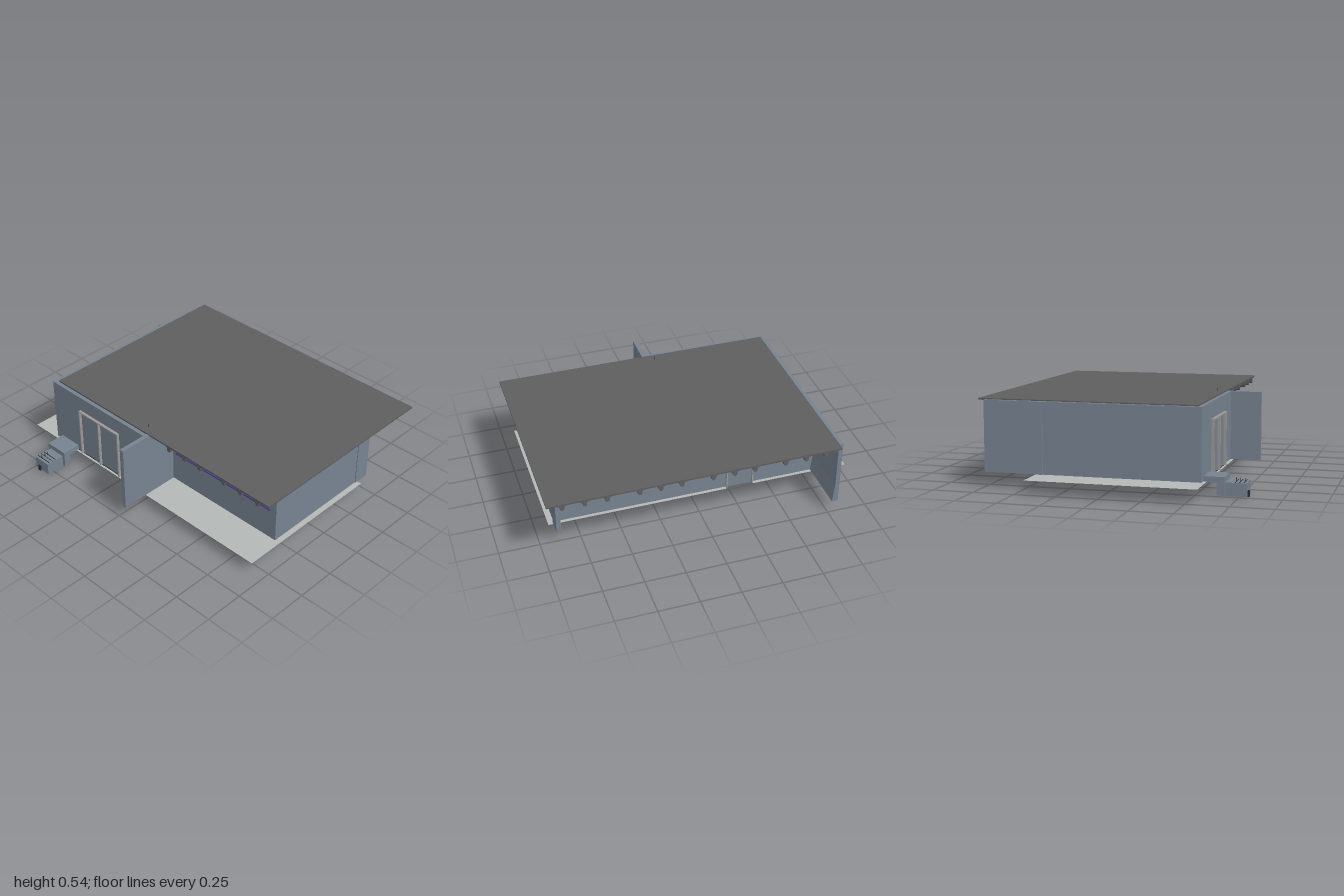
import * as THREE from 'three';

export function createModel() {
  const model = new THREE.Group();
  const mat = (name, color) => new THREE.MeshStandardMaterial({ name, color });
  const wallMat = mat('blue grey wall', 0x778391);
  const roofMat = mat('roof grey', 0x5f5f5f);
  const floorMat = mat('pale floor grey', 0xb4b8b7);
  floorMat.side = THREE.DoubleSide;
  const frameMat = mat('frame grey', 0x9c9a97);
  const darkMat = mat('dark metal', 0x2b2b2d);
  const railMat = mat('indigo rail', 0x4f4596);

  const add = (name, geometry, material) => {
    const mesh = new THREE.Mesh(geometry, material);
    mesh.name = name;
    model.add(mesh);
    return mesh;
  };
  // Box given by its limits on each axis
  const box = (name, material, x0, x1, y0, y1, z0, z1) => {
    const m = add(name, new THREE.BoxGeometry(x1 - x0, y1 - y0, z1 - z0), material);
    m.position.set((x0 + x1) / 2, (y0 + y1) / 2, (z0 + z1) / 2);
    return m;
  };
  // Profile of [z, y] points swept along x
  const sweepX = (name, material, points, x0, x1) => {
    const shape = new THREE.Shape(points.map(([z, y]) => new THREE.Vector2(-z, y)));
    const g = new THREE.ExtrudeGeometry(shape, { depth: x1 - x0, bevelEnabled: false });
    g.rotateY(Math.PI / 2);
    g.translate(x0, 0, 0);
    return add(name, g, material);
  };

  const base = 0.086, top = 0.513;

  // Floor sheet, seen from both sides
  const floor = add('floor', new THREE.PlaneGeometry(1.01, 1.93), floorMat);
  floor.rotation.x = -Math.PI / 2;
  floor.position.set(-0.065, 0.0845, -0.035);

  // Walls: the front part is narrower than the rear part
  box('backWall', wallMat, -0.55, 0.42, base, top, -0.807, -0.78);
  box('rearSideWall', wallMat, -0.55, -0.525, base, top, -0.78, 0.05);
  box('wingWall', wallMat, -0.738, -0.33, base, top, 0.022, 0.05);
  box('frontSideWall', wallMat, -0.33, -0.305, base, 0.508, 0.05, 0.895);
  box('frontWall', wallMat, -0.305, 0.42, base, 0.508, 0.865, 0.895);
  box('porchWall', wallMat, 0.395, 0.42, base, 0.508, -0.78, 0.865);

  // Porch end walls with a sloped foot on the inner face
  sweepX('porchBackEnd', wallMat,
    [[-0.807, base], [-0.768, base], [-0.78, 0.2], [-0.78, top], [-0.807, top]], 0.42, 0.757);
  sweepX('porchFrontEnd', wallMat,
    [[0.9, base], [0.865, base], [0.875, 0.2], [0.875, 0.508], [0.9, 0.508]], 0.42, 0.527);

  // Roof sheet and rounded rafters
  box('roof', roofMat, -0.522, 0.802, 0.509, 0.52, -0.78, 1);
  const rafters = [0.91, 0.78, 0.65, 0.46, 0.335, 0.21, 0.02, -0.11, -0.235, -0.425, -0.555, -0.68];
  for (const z of rafters) {
    const pts = [[z - 0.035, 0.51], [z - 0.014, 0.502]];
    for (let i = 0; i <= 6; i++) {
      const a = Math.PI + (i / 6) * Math.PI;
      pts.push([z + 0.013 * Math.cos(a), 0.487 + 0.013 * Math.sin(a)]);
    }
    pts.push([z + 0.014, 0.502], [z + 0.035, 0.51]);
    sweepX('rafter', roofMat, pts, -0.521, 0.801);
  }

  // Thin roof masts
  box('roofMast', darkMat, -0.471, -0.469, 0.515, 0.54, -0.016, -0.014);
  box('roofStub', roofMat, 0.277, 0.281, 0.515, 0.525, -0.666, -0.662);

  // Door frames
  const frame = (x0, x1, zs, h) => {
    for (const z of zs) box('doorPost', frameMat, x0, x1, base, h, z - 0.004, z + 0.004);
    box('doorLintel', frameMat, x0, x1, h - 0.008, h, zs[0] - 0.004, zs[zs.length - 1] + 0.004);
  };
  frame(0.415, 0.438, [-0.372, -0.203], 0.415);
  frame(-0.568, -0.545, [-0.55, -0.375, -0.2], 0.415);
  box('porchDoor', wallMat, 0.415, 0.424, base, 0.407, -0.368, -0.207);

  // Handrails on both long sides
  for (const [y, r] of [[0.297, 0.005], [0.335, 0.003]]) {
    box('porchRail', railMat, 0.42, 0.43, y - r, y + r, -0.199, 0.275);
    box('sideRail', railMat, -0.34, -0.33, y - r, y + r, 0.08, 0.85);
  }

  // Round wall drum with a small hub
  const drum = add('wallDrum', new THREE.CylinderGeometry(0.06, 0.06, 0.035, 32), wallMat);
  drum.rotation.z = Math.PI / 2;
  drum.position.set(0.435, 0.295, 0.745);
  box('drumHub', darkMat, 0.45, 0.455, 0.293, 0.297, 0.743, 0.747);

  // Twin porch lamps
  for (const z of [-0.72, -0.752]) {
    const lamp = add('porchLamp', new THREE.CylinderGeometry(0.015, 0.015, 0.03, 14), darkMat);
    lamp.rotation.z = Math.PI / 2;
    lamp.position.set(0.433, 0.363, z);
    const hood = add('lampHood', new THREE.CylinderGeometry(0.015, 0.015, 0.025, 14), wallMat);
    hood.rotation.z = Math.PI / 2;
    hood.position.set(0.43, 0.378, z);
  }

  // Drain pipe on the back wall
  box('drainPipe', wallMat, 0.393, 0.413, base, top, -0.818, -0.805);

  // Outdoor machine unit
  box('unitDuct', wallMat, -0.672, -0.55, 0.08, 0.115, -0.757, -0.6);
  box('unitLeg', wallMat, -0.672, -0.625, 0.008, 0.08, -0.757, -0.6);
  box('unitBody', wallMat, -0.795, -0.672, 0.003, 0.082, -0.738, -0.62);
  for (const x of [-0.777, -0.752, -0.728]) {
    box('unitFin', darkMat, x - 0.001, x + 0.001, 0.07, 0.086, -0.735, -0.623);
    box('unitPin', darkMat, x - 0.001, x + 0.001, 0.08, 0.105, -0.7, -0.695);
  }
  box('unitKnob', darkMat, -0.805, -0.795, 0, 0.035, -0.708, -0.69);

  // Feet and sills showing under the floor
  const foot = (name, m, x0, x1, z0, z1) => box(name, m, x0, x1, 0.082, 0.0855, z0, z1);
  foot('benchFoot', railMat, -0.092, -0.072, 0.1, 0.56);
  foot('benchFootEnd', railMat, -0.092, -0.035, 0.55, 0.565);
  foot('benchFootBranch', railMat, -0.12, -0.092, 0.32, 0.33);
  foot('cabinetFoot', darkMat, 0.34, 0.36, -0.02, 0.06);
  foot('cabinetFoot', darkMat, 0.04, 0.07, -0.7, -0.66);
  foot('cabinetFoot', darkMat, 0.3, 0.33, -0.73, -0.72);
  foot('cabinetFoot', darkMat, -0.27, -0.245, 0.78, 0.86);
  foot('sideSill', darkMat, -0.555, -0.54, -0.74, -0.2);
  foot('porchSill', roofMat, 0.41, 0.45, -0.375, -0.2);

  return model;
}
